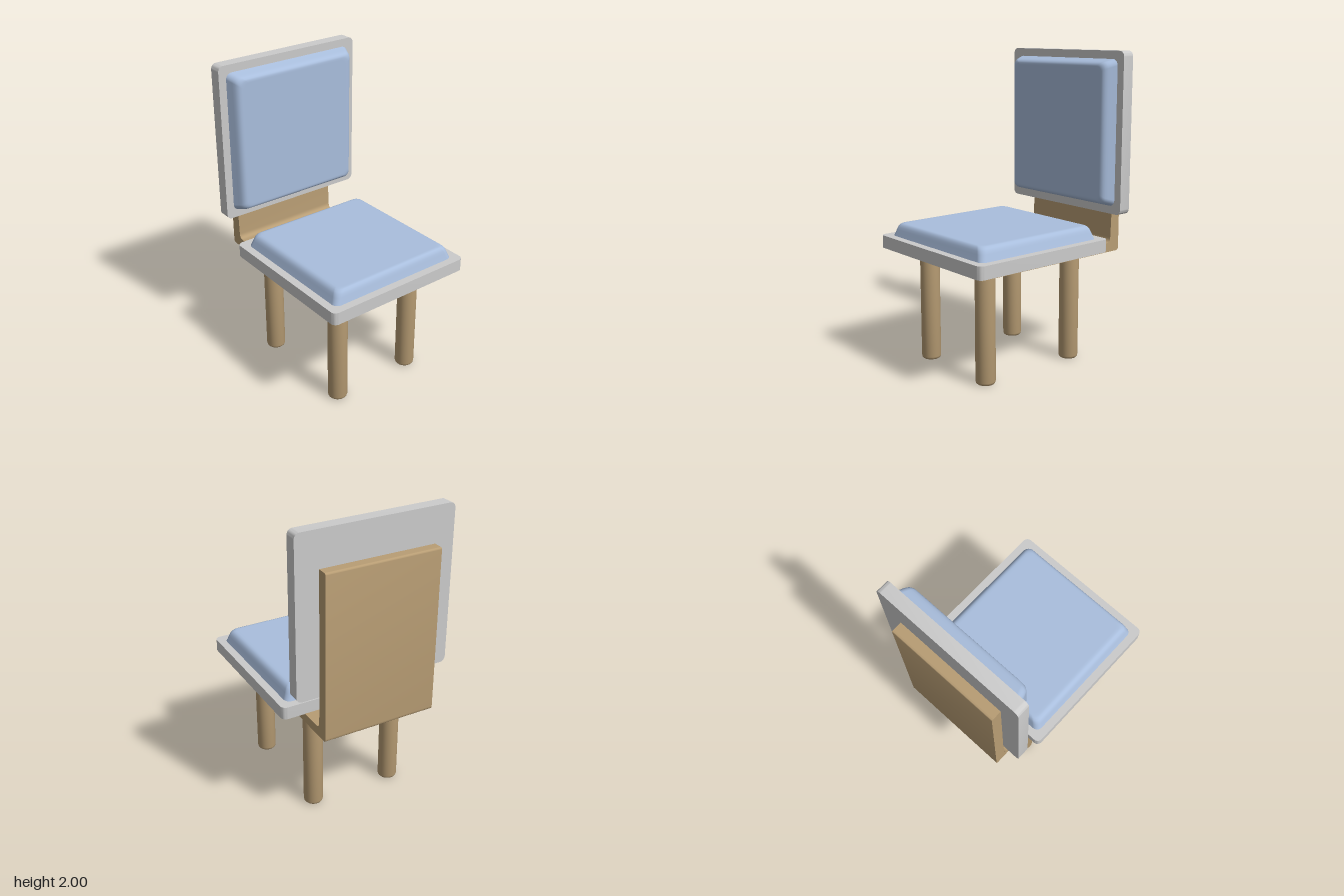
import * as THREE from 'three';
import { toCreasedNormals, mergeVertices } from 'three/addons/utils/BufferGeometryUtils.js';

const grey = new THREE.MeshStandardMaterial({ color: 0xcccccc });
const wood = new THREE.MeshStandardMaterial({ color: 0xb89d74 });
const fabric = new THREE.MeshStandardMaterial({ color: 0xa9bedd });

function add(parent, name, geometry, material) {
  const mesh = new THREE.Mesh(geometry, material);
  mesh.name = name;
  parent.add(mesh);
  return mesh;
}

// Rounded rectangle outline, counter-clockwise, as a list of points
function roundedRect(halfW, halfH, r, steps = 6) {
  const points = [];
  [[1, 1], [-1, 1], [-1, -1], [1, -1]].forEach(([sx, sy], q) => {
    for (let i = 0; i <= steps; i++) {
      const a = (q + i / steps) * Math.PI / 2;
      points.push(new THREE.Vector2(
        sx * (halfW - r) + r * Math.cos(a), sy * (halfH - r) + r * Math.sin(a)));
    }
  });
  return points;
}

// Flat board with rounded corners, rising along +z
function boardGeometry(w, h, r, depth) {
  const shape = new THREE.Shape(roundedRect(w / 2, h / 2, r));
  return toCreasedNormals(
    new THREE.ExtrudeGeometry(shape, { depth, bevelEnabled: false }), 0.6);
}

// Domed-edge cushion: rounded rectangles stacked along +z, closed by fans
function cushionGeometry(w, h) {
  // inset, height
  const rings = [[0, 0], [0.008, 0.02], [0.016, 0.042], [0.023, 0.06],
    [0.032, 0.073], [0.044, 0.082], [0.058, 0.085], [0.075, 0.085]];
  const positions = [], index = [];
  let n = 0;
  for (const [inset, z] of rings) {
    const outline = roundedRect(w / 2 - inset, h / 2 - inset * 0.75, 0.04);
    n = outline.length;
    for (const p of outline) positions.push(p.x, p.y, z);
  }
  const top = rings.length * n;
  positions.push(0, 0, 0.085);
  for (let k = 0; k < rings.length; k++) {
    for (let i = 0; i < n; i++) {
      const j = (i + 1) % n, a = k * n + i, b = k * n + j;
      if (k < rings.length - 1) index.push(a, b, b + n, a, b + n, a + n);
      else index.push(a, b, top);
    }
  }
  const geometry = new THREE.BufferGeometry();
  geometry.setAttribute('position', new THREE.Float32BufferAttribute(positions, 3));
  geometry.setIndex(index);
  const merged = mergeVertices(geometry);
  merged.computeVertexNormals();
  return merged;
}

// Grey board carrying a cushion, facing +z
function createPad(name) {
  const pad = new THREE.Group();
  pad.name = name;
  add(pad, name + 'Board', boardGeometry(1.032, 1.032, 0.035, 0.082), grey);
  add(pad, name + 'Cushion', cushionGeometry(0.93, 0.93), fabric).position.z = 0.081;
  return pad;
}

// Bent wooden plate: horizontal under the seat, upright behind the back
function frameGeometry() {
  const s = new THREE.Shape();
  s.moveTo(0.507, 0.692);
  s.quadraticCurveTo(0.515, 0.692, 0.515, 0.7);
  s.lineTo(0.515, 0.752);
  s.lineTo(-0.53, 0.752);
  s.quadraticCurveTo(-0.565, 0.752, -0.565, 0.79);
  s.lineTo(-0.572, 0.97);
  s.lineTo(-0.572, 1.77);
  s.lineTo(-0.628, 1.77);
  s.quadraticCurveTo(-0.642, 1.77, -0.642, 1.756);
  s.lineTo(-0.642, 0.715);
  s.quadraticCurveTo(-0.642, 0.692, -0.618, 0.692);
  s.closePath();
  const geometry = new THREE.ExtrudeGeometry(s, {
    depth: 0.755, bevelEnabled: false, curveSegments: 8 });
  geometry.rotateY(-Math.PI / 2).translate(0.367, 0, 0);
  return toCreasedNormals(geometry, 0.6);
}

// Round leg with a softened foot
function legGeometry() {
  const profile = [[0, 0], [0.045, 0], [0.054, 0.003], [0.06, 0.009], [0.063, 0.02],
    [0.063, 0.7], [0, 0.7]].map(([x, y]) => new THREE.Vector2(x, y));
  return toCreasedNormals(new THREE.LatheGeometry(profile, 32), 0.7);
}

export function createModel() {
  const chair = new THREE.Group();
  chair.name = 'chair';

  add(chair, 'frame', frameGeometry(), wood);

  const seat = createPad('seat');
  seat.rotation.x = -Math.PI / 2;
  seat.position.set(0, 0.75, 0.128);
  chair.add(seat);

  const back = createPad('back');
  back.position.set(0, 1.484, -0.572);
  chair.add(back);

  // Four legs, set slightly off centre like the frame
  const leg = legGeometry();
  for (const [side, x] of [['Left', 0.264], ['Right', -0.308]]) {
    for (const [end, z] of [['front', 0.408], ['back', -0.292]]) {
      add(chair, end + side + 'Leg', leg, wood).position.set(x, 0, z);
    }
  }
  return chair;
}
